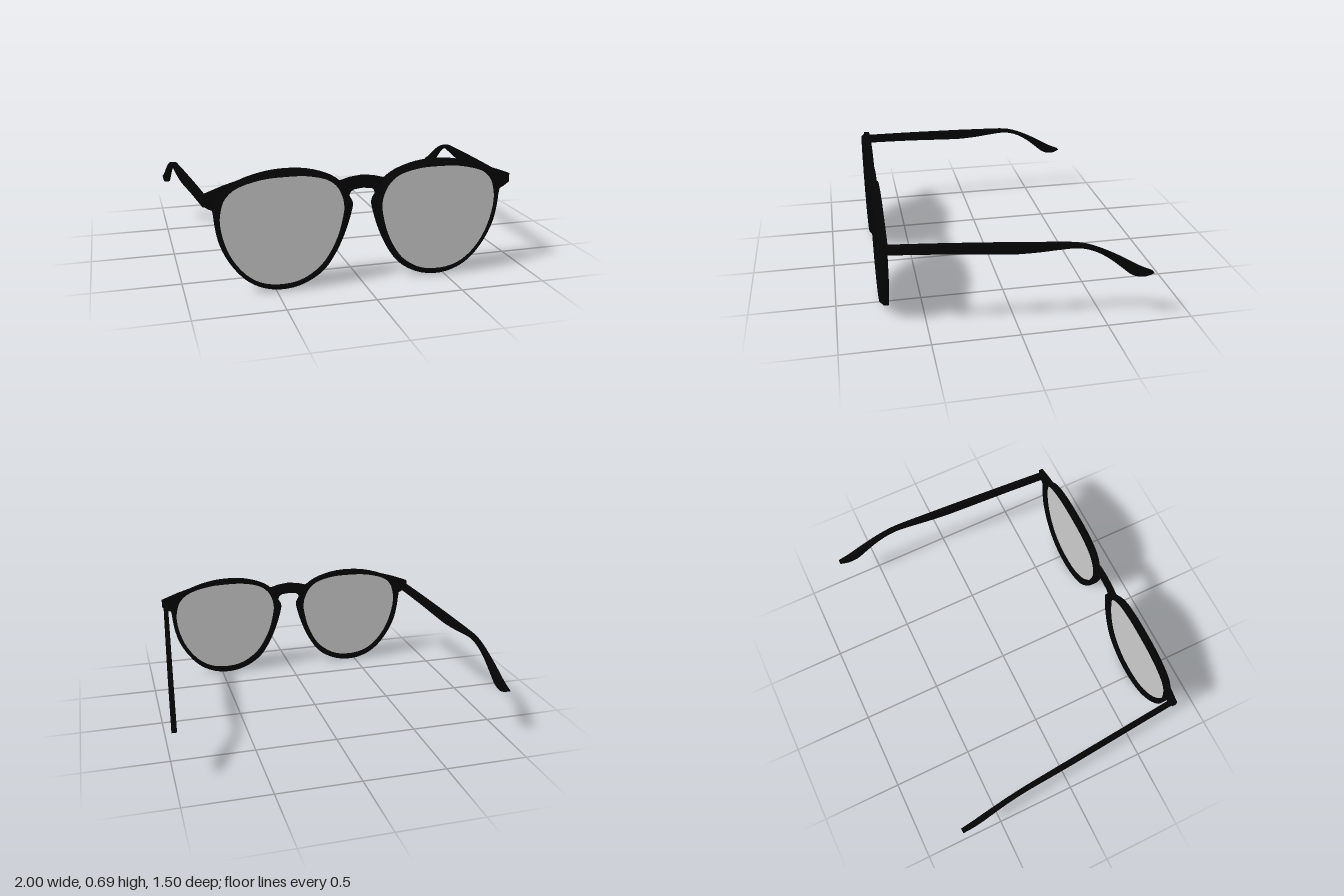
import * as THREE from 'three';
import { toCreasedNormals } from 'three/addons/utils/BufferGeometryUtils.js';

const BACK = 0.70, STEP = 0.724, FRONT = 0.75;
const STEPS = 64;

// Lens opening and outer rim edge, matching points, clockwise from the top
const INNER = [[.445, .66], [.57, .653], [.70, .619], [.77, .565], [.797, .496], [.803, .416], [.78, .304],
  [.733, .197], [.66, .107], [.572, .053], [.464, .036], [.352, .053], [.25, .117], [.184, .203],
  [.136, .31], [.109, .427], [.109, .475], [.119, .52], [.152, .581], [.216, .629], [.328, .656]];
const OUTER = [[.445, .697], [.57, .684], [.70, .645], [.80, .585], [.83, .50], [.828, .41], [.805, .293],
  [.75, .18], [.67, .083], [.576, .026], [.464, .004], [.343, .024], [.229, .09], [.155, .19],
  [.10, .31], [.064, .427], [.058, .48], [.078, .52], [.115, .592], [.195, .65], [.318, .688]];

// Temple side profile: z, bottom, top
const TEMPLE = [[.705, .513, .562], [.4, .50, .553], [.1, .481, .541], [.03, .478, .538], [-.1, .482, .531],
  [-.2, .490, .526], [-.3, .495, .519], [-.36, .486, .508], [-.43, .458, .483], [-.496, .415, .452],
  [-.556, .366, .42], [-.616, .316, .385], [-.657, .299, .36], [-.70, .296, .338], [-.748, .313, .317]];

function smoothLoop(points) {
  const curve = new THREE.CatmullRomCurve3(points.map(([x, y]) => new THREE.Vector3(x, y, 0)), true, 'catmullrom');
  return Array.from({ length: STEPS }, (_, i) => curve.getPoint(i / STEPS));
}

// Skin over equal cross-sections; either a closed ring or a capped bar
function loft(rings, closed) {
  const n = rings[0].length, count = rings.length, index = [];
  for (let i = 0; i < (closed ? count : count - 1); i++) {
    const k = (i + 1) % count;
    for (let j = 0; j < n; j++) {
      const m = (j + 1) % n;
      const a = i * n + j, b = k * n + j, c = k * n + m, d = i * n + m;
      index.push(a, d, c, a, c, b);
    }
  }
  if (!closed) {
    const e = (count - 1) * n;
    for (let j = 1; j < n - 1; j++) index.push(0, j + 1, j, e, e + j, e + j + 1);
  }
  const geometry = new THREE.BufferGeometry();
  geometry.setAttribute('position', new THREE.Float32BufferAttribute(rings.flat(2), 3));
  geometry.setIndex(index);
  return toCreasedNormals(geometry, 0.5);
}

function plate(points) {
  const shape = new THREE.Shape(points.map(([x, y]) => new THREE.Vector2(x, y)));
  return new THREE.ExtrudeGeometry(shape, { depth: STEP - BACK, bevelEnabled: false }).translate(0, 0, BACK);
}

export function createModel() {
  const model = new THREE.Group();
  model.name = 'sunglasses';
  const black = new THREE.MeshStandardMaterial({ color: 0x040404 });
  const tint = new THREE.MeshStandardMaterial({ color: 0xc2c2c2, side: THREE.DoubleSide });
  const add = (name, geometry, material = black) => {
    const mesh = new THREE.Mesh(geometry, material);
    mesh.name = name;
    model.add(mesh);
  };

  // Keyhole bridge
  const half = [[0, .63], [.07, .622], [.125, .607], [.165, .612], [.125, .565], [.095, .51],
    [.078, .52], [.071, .541], [.05, .555], [0, .56]];
  const otherHalf = half.slice(1, -1).reverse().map(([x, y]) => [-x, y]);
  add('bridge', plate([...half, ...otherHalf]));

  const inner = smoothLoop(INNER), outer = smoothLoop(OUTER);
  for (const [side, s] of [['left', 1], ['right', -1]]) {
    // Rim with a front face sloping back from the lens to the outer edge
    const sections = inner.map((p, i) => {
      const q = outer[i];
      const section = [[s * p.x, p.y, BACK], [s * q.x, q.y, BACK], [s * q.x, q.y, STEP], [s * p.x, p.y, FRONT]];
      return s > 0 ? section : section.reverse();
    });
    add(side + 'Rim', loft(sections, true));

    // Flat lens
    const lensShape = new THREE.Shape(inner.map(p => new THREE.Vector2(s * p.x, p.y)));
    add(side + 'Lens', new THREE.ShapeGeometry(lensShape).translate(0, 0, 0.725), tint);

    // Corner that carries the temple
    const corner = [[.66, .657], [.78, .622], [.895, .58], [.895, .53], [.86, .505], [.838, .495], [.826, .42],
      [.812, .42], [.81, .50], [.785, .57], [.71, .63]];
    add(side + 'EndPiece', plate(corner.map(([x, y]) => [s * x, y])));

    // Temple, splaying outwards to the drooping ear tip
    const profile = new THREE.CatmullRomCurve3(TEMPLE.map(p => new THREE.Vector3(...p)));
    const bars = profile.getPoints(56).map(({ x: z, y: low, z: high }) => {
      const x = s * (0.872 + (0.7 - z) * 0.078), w = 0.015;
      return [[x - w, low, z], [x - w, high, z], [x + w, high, z], [x + w, low, z]];
    });
    add(side + 'Temple', loft(bars, false));
  }
  return model;
}
